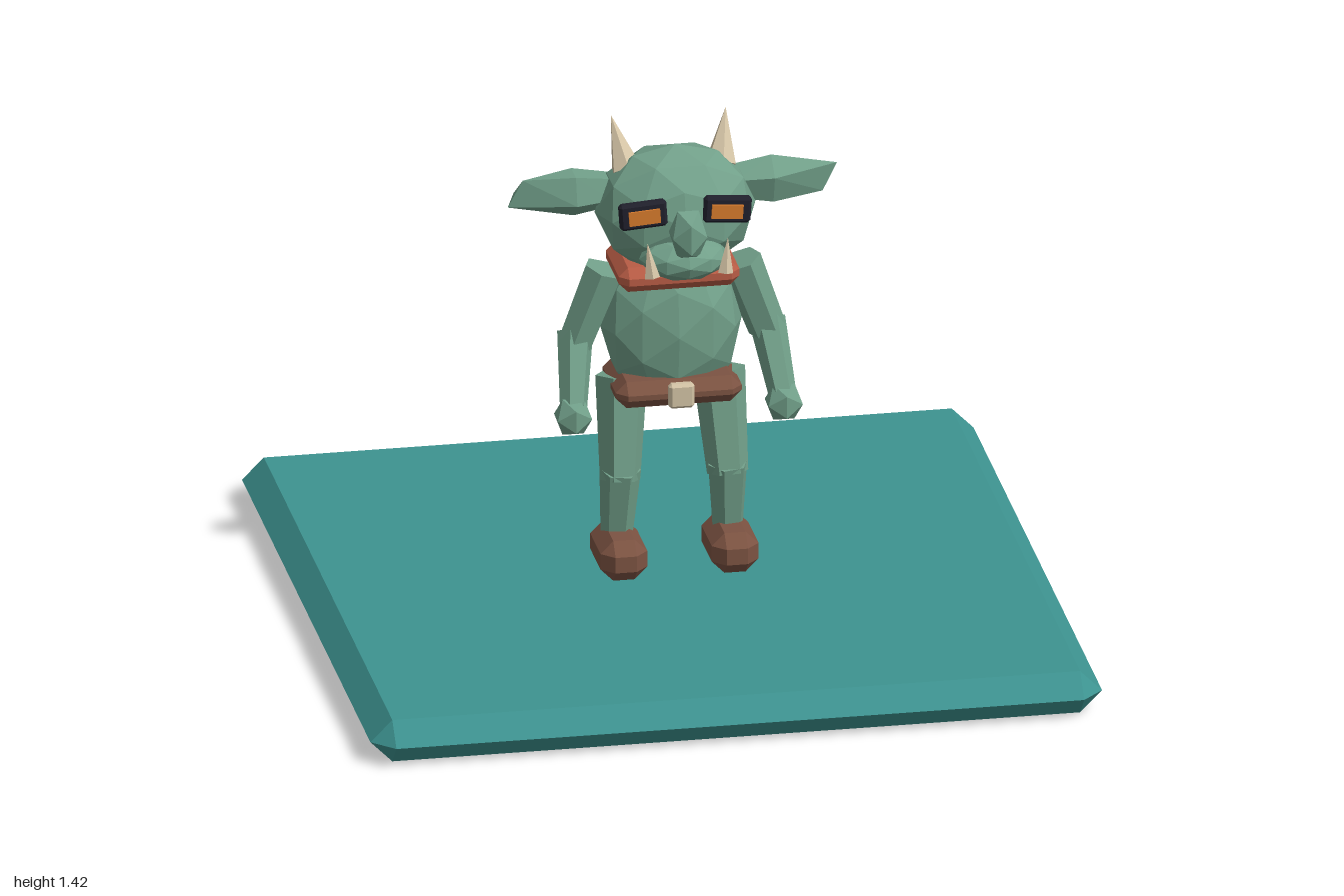
import * as THREE from 'three';
import { ConvexGeometry } from 'three/addons/geometries/ConvexGeometry.js';

const V = (x, y, z) => new THREE.Vector3(x, y, z);

function paint(name, color) {
  const m = new THREE.MeshStandardMaterial({ color, flatShading: true });
  m.name = name;
  return m;
}

// Box with every edge cut by c
function chamferBox(w, h, d, c) {
  const [x, y, z] = [w / 2, h / 2, d / 2];
  const seen = new Map();
  for (const i of [-1, 1]) for (const j of [-1, 1]) for (const k of [-1, 1]) {
    const corner = [[x, y - c, z - c], [x - c, y, z - c], [x - c, y - c, z]];
    for (const [a, b, e] of corner) {
      const p = V(i * a, j * b, k * e);
      seen.set(p.toArray().map((n) => (n + 0).toFixed(4).replace('-0.0000', '0.0000')).join(), p);
    }
  }
  return new ConvexGeometry([...seen.values()]);
}

export function createModel() {
  const model = new THREE.Group();
  const teal = paint('teal stone', 0x3d9390);
  const skin = paint('green skin', 0x719f89);
  const red = paint('red cloth', 0xb85c45);
  const brown = paint('brown leather', 0x7c5342);
  const bone = paint('cream bone', 0xd2c2a4);
  const dark = paint('dark frame', 0x20202c);
  const amber = paint('amber eye', 0xd67a2c);

  function add(name, geo, mat, x = 0, y = 0, z = 0) {
    const mesh = new THREE.Mesh(geo, mat);
    mesh.name = name;
    mesh.position.set(x, y, z);
    model.add(mesh);
    return mesh;
  }
  function blob(name, mat, x, y, z, rx, ry, rz, detail = 1) {
    return add(name, new THREE.IcosahedronGeometry(1, detail).scale(rx, ry, rz), mat, x, y, z);
  }
  // Tapered limb or spike running from a to b
  function limb(name, mat, a, b, ra, rb, sides = 6) {
    const dir = b.clone().sub(a);
    const mid = a.clone().add(b).multiplyScalar(0.5);
    const mesh = add(name, new THREE.CylinderGeometry(rb, ra, dir.length(), sides), mat, mid.x, mid.y, mid.z);
    mesh.quaternion.setFromUnitVectors(V(0, 1, 0), dir.normalize());
    return mesh;
  }

  // Base slab
  add('baseSlab', chamferBox(2, 0.12, 2, 0.06), teal, 0, 0.06, 0);

  // Body and head
  blob('torso', skin, 0, 0.82, -0.015, 0.193, 0.237, 0.127);
  blob('head', skin, 0, 1.178, 0.043, 0.22, 0.182, 0.166);
  blob('muzzle', skin, 0, 1.085, 0.17, 0.122, 0.06, 0.1);
  blob('nose', skin, 0, 1.175, 0.237, 0.055, 0.08, 0.06, 0);

  // Belt, buckle and scarf
  add('belt', chamferBox(0.345, 0.075, 0.25, 0.03), brown, 0, 0.662, 0.003);
  add('buckle', chamferBox(0.07, 0.07, 0.03, 0.008), bone, 0, 0.667, 0.135);
  add('scarf', chamferBox(0.33, 0.07, 0.24, 0.025), red, 0, 1.0, 0.01);

  // Scarf tail blowing backwards
  const tail = add('scarfTail', chamferBox(0.145, 0.026, 0.4, 0.008), red, 0.034, 0.985, -0.296);
  tail.lookAt(0.094, 0.931, -0.68);

  // Ear hull, pointing out along +x from the head centre line
  const ear = [];
  for (let i = 0; i < 5; i++) {
    const a = (i / 5) * Math.PI * 2;
    ear.push(V(0.17, 0.05 * Math.cos(a), 0.045 * Math.sin(a)));
    ear.push(V(0.27, 0.068 * Math.cos(a), 0.06 * Math.sin(a)));
  }
  ear.push(V(0.45, 0.032, 0), V(0.41, -0.045, 0.005), V(0.43, 0, -0.022));

  for (const s of [1, -1]) {
    const side = s > 0 ? 'left' : 'right';
    const P = (x, y, z) => V(s * x, y, z);

    const earMesh = add(side + 'Ear', new ConvexGeometry(ear), skin, 0, 1.225, 0.005);
    if (s < 0) earMesh.rotation.z = Math.PI;

    // Horns and tusks
    limb(side + 'Horn', bone, P(0.128, 1.285, 0.022), P(0.157, 1.416, -0.055), 0.044, 0, 6);
    limb(side + 'Tusk', bone, P(0.1, 1.06, 0.243), P(0.11, 1.155, 0.23), 0.022, 0, 5);

    // Framed eyes
    const frame = add(side + 'EyeFrame', chamferBox(0.13, 0.075, 0.028, 0.008), dark, s * 0.115, 1.222, 0.19);
    const eye = add(side + 'Eye', new THREE.BoxGeometry(0.086, 0.04, 0.008), amber, s * 0.113, 1.22, 0.206);
    frame.rotation.z = eye.rotation.z = -s * 0.07;

    // Arms
    const elbow = P(0.262, 0.785, -0.008);
    limb(side + 'UpperArm', skin, P(0.185, 0.995, 0.005), elbow, 0.058, 0.052);
    limb(side + 'Forearm', skin, P(0.262, 0.81, -0.015), P(0.285, 0.635, 0.085), 0.05, 0.038);
    blob(side + 'Hand', skin, s * 0.288, 0.61, 0.095, 0.055, 0.06, 0.056, 0);

    // Legs and shoes
    limb(side + 'Thigh', skin, P(0.133, 0.67, -0.03), P(0.147, 0.39, 0.028), 0.072, 0.056);
    limb(side + 'Shin', skin, P(0.147, 0.42, 0.03), P(0.152, 0.22, 0.002), 0.056, 0.043);
    add(side + 'Shoe', chamferBox(0.128, 0.115, 0.22, 0.035), brown, s * 0.152, 0.188, 0.035);
  }
  return model;
}
